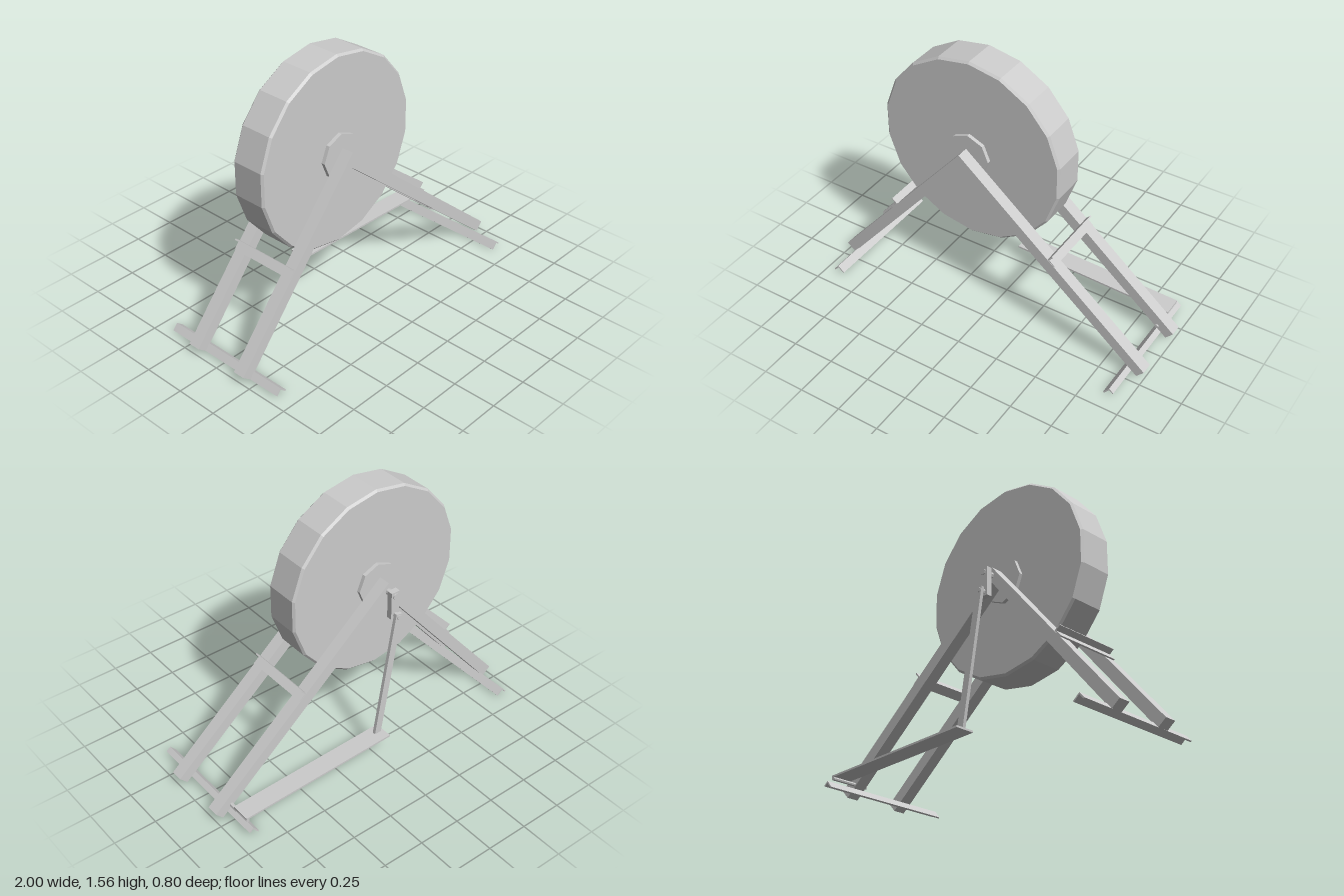
import * as THREE from 'three';

const material = new THREE.MeshStandardMaterial({ color: 0xcccccc, flatShading: true });
const AXLE_X = -0.167, AXLE_Y = 0.985;

export function createModel() {
  const model = new THREE.Group();
  model.name = 'treadleGrindstone';

  const add = (name, geometry, x = 0, y = 0, z = 0) => {
    const mesh = new THREE.Mesh(geometry, material);
    mesh.name = name;
    mesh.position.set(x, y, z);
    model.add(mesh);
    return mesh;
  };

  // Outline in the x-y plane, extruded from z0 to z1
  const prism = (name, points, z0, z1) => {
    const shape = new THREE.Shape(points.map(([x, y]) => new THREE.Vector2(x, y)));
    return add(name, new THREE.ExtrudeGeometry(shape, { depth: z1 - z0, bevelEnabled: false }), 0, 0, z0);
  };

  // Round bar along z from z0 to z1
  const rod = (name, x, y, radius, z0, z1, sides = 8) => {
    const geometry = new THREE.CylinderGeometry(radius, radius, z1 - z0, sides).rotateX(-Math.PI / 2);
    return add(name, geometry, x, y, (z0 + z1) / 2);
  };

  // Flat bar between two points of the x-y plane
  const bar = (name, [x0, y0], [x1, y1], thickness, depth, z) => {
    const length = Math.hypot(x1 - x0, y1 - y0);
    const mesh = add(name, new THREE.BoxGeometry(length, thickness, depth), (x0 + x1) / 2, (y0 + y1) / 2, z);
    mesh.rotation.z = Math.atan2(y1 - y0, x1 - x0);
    return mesh;
  };

  // L-section rail along z: corner, two flange directions and lengths
  const angleIron = (name, [cx, cy], a, la, b, lb, halfLength) => {
    const t = 0.008;
    const at = (u, v) => [cx + a[0] * u + b[0] * v, cy + a[1] * u + b[1] * v];
    return prism(name, [at(0, 0), at(la, 0), at(la, t), at(t, t), at(t, lb), at(0, lb)], -halfLength, halfLength);
  };

  // Stone wheel with chamfered rim
  const r = 0.559, h = 0.105, c = 0.012;
  const profile = [[0, -h], [r - c, -h], [r, -h + c], [r, h - c], [r - c, h], [0, h]]
    .map(([x, y]) => new THREE.Vector2(x, y));
  add('wheel', new THREE.LatheGeometry(profile, 18).rotateX(-Math.PI / 2), AXLE_X, 1.0, 0);

  // Hub plates and axle
  rod('hub', AXLE_X, AXLE_Y, 0.129, -0.127, 0.127, 8);
  rod('axle', AXLE_X, AXLE_Y, 0.018, -0.275, 0.2);

  // V-shaped leg frames on both sides of the wheel
  const legOutline = [[-0.17, 1.035], [-1, 0.05], [-0.947, 0.008], [-0.17, 0.943], [0.957, 0.008], [1, 0.055]];
  prism('frontLegs', legOutline, 0.137, 0.208);
  prism('backLegs', legOutline, -0.208, -0.137);

  // Angle-iron feet under the legs and braces on top of them
  const downLeft = [-0.644, -0.765], downRight = [0.765, -0.644];
  const upLeft = [-0.765, 0.644], upRight = [0.644, 0.765];
  angleIron('leftFoot', [-0.922, 0.045], downLeft, 0.045, downRight, 0.052, 0.4);
  angleIron('rightFoot', [0.896, 0.047], downRight, 0.034, downLeft, 0.054, 0.4);
  angleIron('leftBrace', [-0.605, 0.519], downLeft, 0.055, upLeft, 0.042, 0.206);
  angleIron('rightBrace', [0.386, 0.567], downRight, 0.055, upRight, 0.042, 0.206);

  // Crank arm and pin behind the back legs
  add('crankArm', new THREE.BoxGeometry(0.055, 0.168, 0.033), AXLE_X, 0.928, -0.252);
  rod('crankPin', AXLE_X, 0.868, 0.015, -0.308, -0.23);

  // Connecting rod down to the treadle
  bar('connectingRod', [-0.168, 0.888], [-0.035, 0.115], 0.042, 0.02, -0.293);

  // Treadle board and its hinge rod
  bar('treadle', [-0.075, 0.117], [0.91, 0.084], 0.011, 0.115, -0.303);
  rod('treadleHinge', 0.9, 0.071, 0.011, -0.36, -0.128);

  return model;
}
